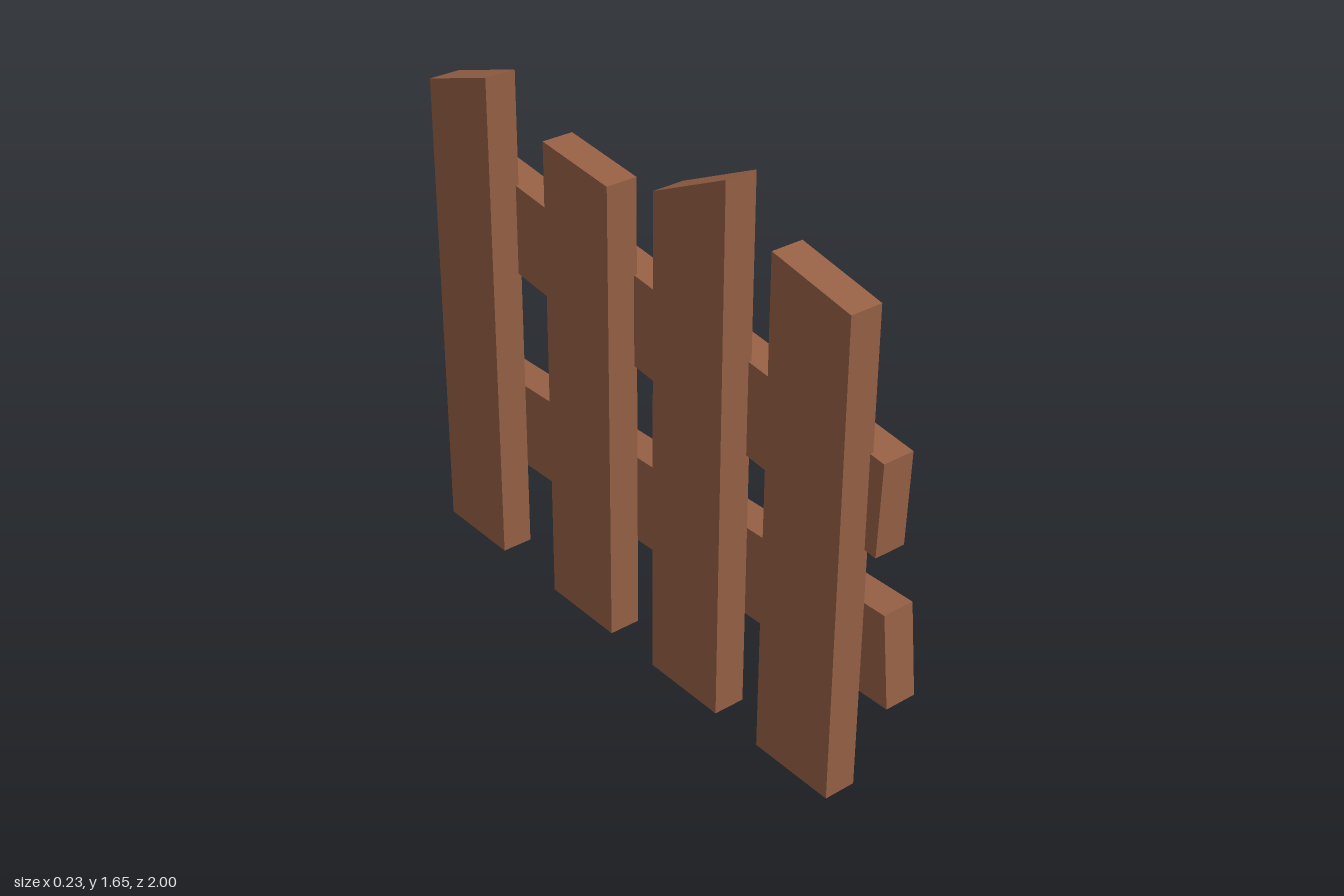
import * as THREE from 'three';

const wood = new THREE.MeshStandardMaterial({ color: 0x966045, flatShading: true });
const darkWood = new THREE.MeshStandardMaterial({ color: 0x643c2c, flatShading: true });

// Board cut from an outline of [-z, y] corners, spanning x0 to x1
function board(name, corners, x0, x1) {
  const shape = new THREE.Shape(corners.map(([u, y]) => new THREE.Vector2(u, y)));
  const geometry = new THREE.ExtrudeGeometry(shape, { depth: x1 - x0, bevelEnabled: false });
  geometry.rotateY(Math.PI / 2).translate(x0, 0, 0);
  const mesh = new THREE.Mesh(geometry, wood);
  mesh.name = name;
  return mesh;
}

// Eight-sided peg head pointing along +x, sunk slightly into its rail
function peg(u, y, x0, x1) {
  const geometry = new THREE.CylinderGeometry(0.043, 0.043, x1 - x0, 8, 1, false, Math.PI / 8);
  geometry.rotateZ(-Math.PI / 2);
  const mesh = new THREE.Mesh(geometry, darkWood);
  mesh.position.set((x0 + x1) / 2, y, -u);
  mesh.name = 'peg';
  return mesh;
}

export function createModel() {
  const fence = new THREE.Group();
  fence.name = 'fence';

  // Upright pickets with slanted tops: start, top at start, top at end
  const width = 0.285;
  const pickets = [
    [-0.9, 1.474, 1.53],
    [-0.44, 1.655, 1.52],
    [0.04, 1.46, 1.491],
    [0.59, 1.59, 1.497],
  ];
  for (const [u, topA, topB] of pickets) {
    fence.add(board('picket', [[u, 0], [u + width, 0], [u + width, topB], [u, topA]], -0.115, -0.015));
  }

  // Crooked rails nailed across the pickets
  fence.add(board('upperRail', [[-0.94, 0.765], [1, 1], [0.99, 1.283], [-0.95, 1.05]], -0.025, 0.075));
  fence.add(board('lowerRail', [[-1, 0.313], [0.955, 0.265], [0.985, 0.548], [-0.97, 0.597]], -0.01, 0.09));

  // Pegs over each crossing
  const upperPegs = [[-0.797, 0.945], [-0.305, 0.97], [0.193, 1.05], [0.753, 1.12]];
  const lowerPegs = [[-0.797, 0.412], [-0.293, 0.412], [0.18, 0.447], [0.722, 0.412]];
  for (const [u, y] of upperPegs) fence.add(peg(u, y, 0.06, 0.115));
  for (const [u, y] of lowerPegs) fence.add(peg(u, y, 0.06, 0.115));

  return fence;
}
